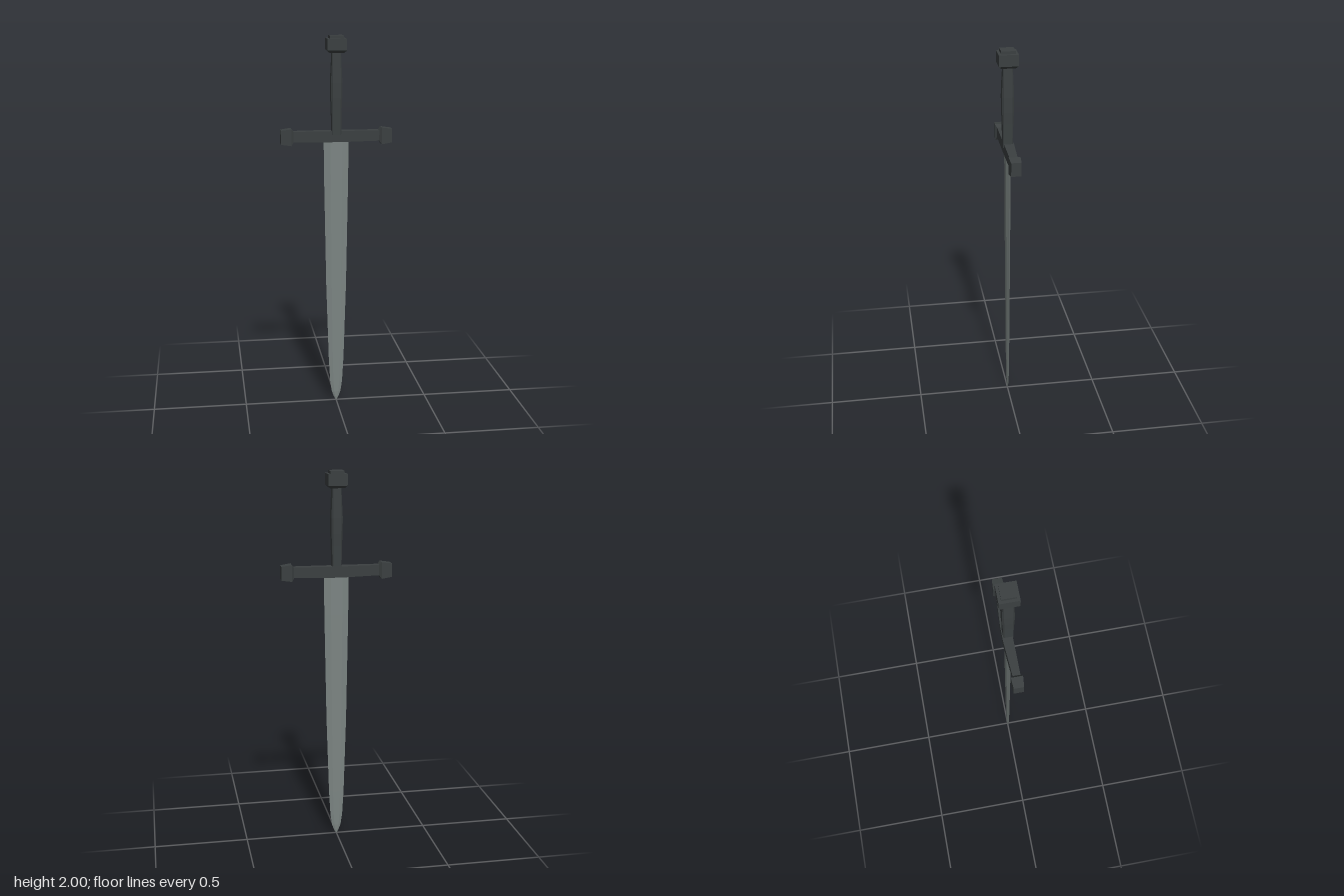
import * as THREE from 'three';

const dark = new THREE.MeshStandardMaterial({ color: 0x3b4041, flatShading: true });
const steel = new THREE.MeshStandardMaterial({ color: 0x7c8583, flatShading: true });

// Skins a list of equal-sized rings of [x, y, z] points and closes both ends.
// Rings run counter-clockwise as seen from the end the loft advances towards.
function loft(name, rings, material) {
  const n = rings[0].length;
  const index = [];
  for (let r = 0; r < rings.length - 1; r++) {
    for (let i = 0; i < n; i++) {
      const a = r * n + i, b = r * n + (i + 1) % n;
      index.push(a, b, b + n, a, b + n, a + n);
    }
  }
  const last = (rings.length - 1) * n;
  for (let i = 1; i < n - 1; i++) {
    index.push(0, i + 1, i, last, last + i, last + i + 1);
  }
  const indexed = new THREE.BufferGeometry();
  indexed.setAttribute('position', new THREE.Float32BufferAttribute(rings.flat(2), 3));
  indexed.setIndex(index);
  const geometry = indexed.toNonIndexed();
  geometry.computeVertexNormals();
  const mesh = new THREE.Mesh(geometry, material);
  mesh.name = name;
  return mesh;
}

// Six-sided blade section: flat centre, bevelled to the edges
const bladeRing = ([y, w, t]) => {
  const f = w * 0.47;
  return [[w, y, 0], [f, y, -t], [-f, y, -t], [-w, y, 0], [-f, y, t], [f, y, t]];
};

// Rectangle with chamfered corners, around the vertical axis
const gripRing = ([y, x, z, c]) => [
  [x, y, z - c], [x, y, c - z], [x - c, y, -z], [c - x, y, -z],
  [-x, y, c - z], [-x, y, z - c], [c - x, y, z], [x - c, y, z],
];

const squareRing = ([y, h]) => [[h, y, h], [h, y, -h], [-h, y, -h], [-h, y, h]];

// Rectangle across the guard
const guardRing = ([x, y0, y1, z0, z1]) => [[x, y0, z0], [x, y1, z0], [x, y1, z1], [x, y0, z1]];

export function createModel() {
  const group = new THREE.Group();
  group.name = 'sword';

  // Blade: height, half width, half thickness
  const blade = [
    [0, 0.002, 0.0005], [0.02, 0.013, 0.003], [0.05, 0.024, 0.005], [0.11, 0.033, 0.006],
    [0.25, 0.041, 0.007], [0.67, 0.054, 0.009], [1.25, 0.064, 0.012], [1.47, 0.066, 0.012],
  ];
  group.add(loft('blade', blade.map(bladeRing), steel));

  // Crossguard half: x, bottom, top, back, front; mirrored to the other side
  const half = [
    [0.04, 1.452, 1.51, -0.03, 0.021],
    [0.225, 1.455, 1.51, -0.018, 0.021],
    [0.237, 1.437, 1.525, -0.029, 0.031],
    [0.292, 1.445, 1.517, -0.025, 0.026],
  ];
  const mirrored = half.map(([x, ...rest]) => [-x, ...rest]).reverse();
  group.add(loft('crossguard', [...mirrored, ...half].map(guardRing), dark));

  // Grip: height, half width, half depth, corner chamfer
  const grip = [
    [1.49, 0.024, 0.025, 0.004], [1.62, 0.026, 0.027, 0.006], [1.68, 0.029, 0.03, 0.009],
    [1.76, 0.03, 0.031, 0.009], [1.84, 0.026, 0.028, 0.006], [1.93, 0.022, 0.023, 0.004],
  ];
  group.add(loft('grip', grip.map(gripRing), dark));

  // Pommel block with a small raised cap
  const pommel = [[1.913, 0.037], [1.926, 0.05], [1.985, 0.05], [1.985, 0.036], [2, 0.036]];
  group.add(loft('pommel', pommel.map(squareRing), dark));

  return group;
}
